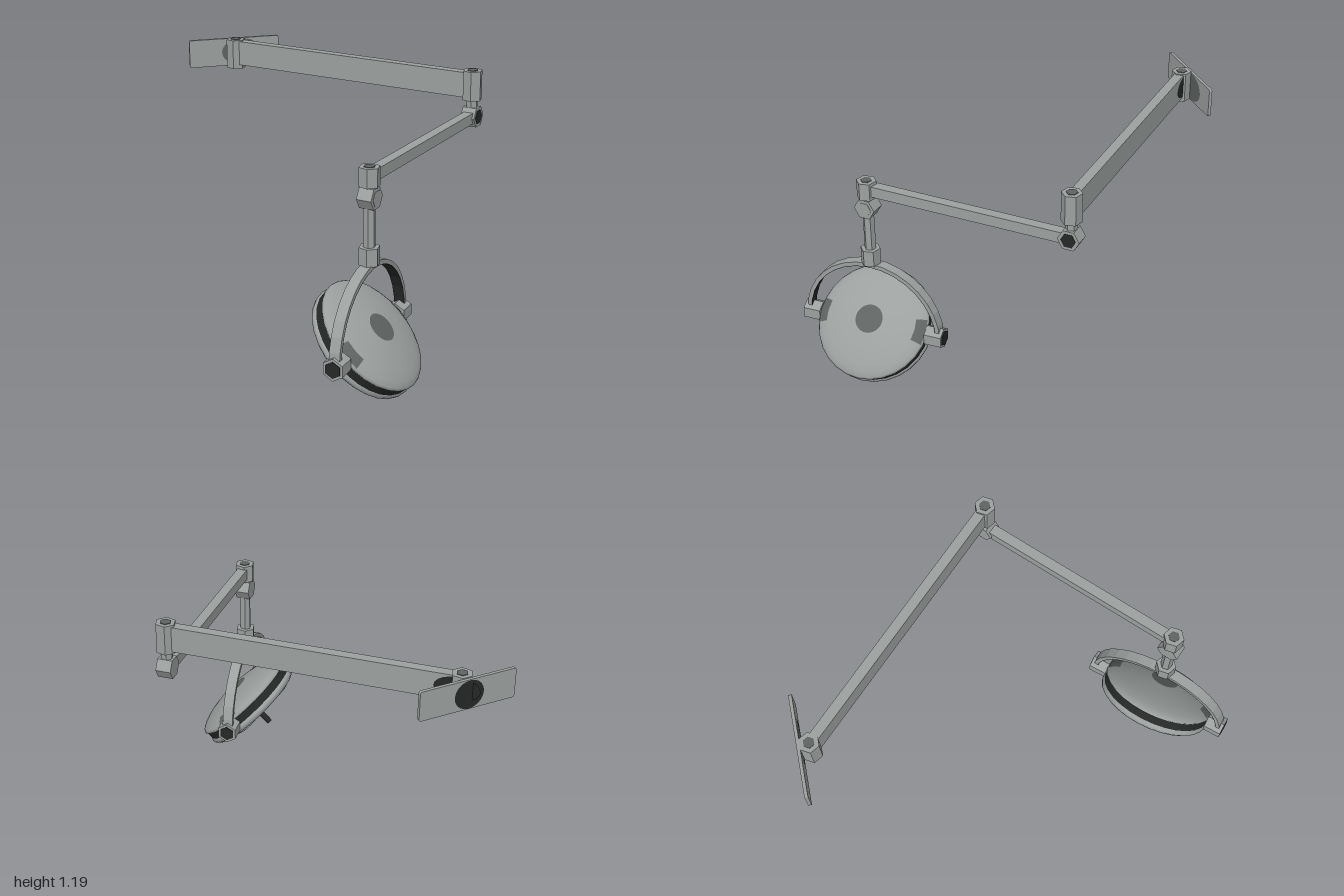
import * as THREE from 'three';

const paint = (name, color) => {
  const m = new THREE.MeshStandardMaterial({ color });
  m.name = name;
  return m;
};

export function createModel() {
  const model = new THREE.Group();
  model.name = 'surgicalLamp';
  const grey = paint('lightGrey', 0x9ca19f);
  const mid = paint('midGrey', 0x5f6361);
  const dark = paint('darkGrey', 0x262827);

  const add = (parent, name, geo, mat, x = 0, y = 0, z = 0) => {
    const mesh = new THREE.Mesh(geo, mat);
    mesh.name = name;
    mesh.position.set(x, y, z);
    parent.add(mesh);
    return mesh;
  };

  // Faceted upright prism
  const prism = (r, h, sides = 6) => {
    const g = new THREE.CylinderGeometry(r, r, h, sides, 1, false, Math.PI / sides).toNonIndexed();
    g.computeVertexNormals();
    return g;
  };

  // Upright prism between two heights, with an optional dark inset on top
  const post = (name, x, z, y0, y1, r, capped) => {
    add(model, name, prism(r, y1 - y0), grey, x, (y0 + y1) / 2, z);
    if (capped) add(model, name + 'Cap', prism(0.026, 0.004), mid, x, y1 + 0.001, z);
  };

  // Horizontal beam between two joints; returns its mesh
  const beam = (name, a, b, y0, y1, width) => {
    const dx = b[0] - a[0], dz = b[1] - a[1];
    const geo = new THREE.BoxGeometry(Math.hypot(dx, dz), y1 - y0, width);
    const mesh = add(model, name, geo, grey, (a[0] + b[0]) / 2, (y0 + y1) / 2, (a[1] + b[1]) / 2);
    mesh.rotation.y = Math.atan2(-dz, dx);
    return mesh;
  };

  // Hexagonal pivot lying across the lower arm
  const knuckle = (name, x, y, z, capMat) => {
    const g = new THREE.Group();
    g.name = name;
    g.position.set(x, y, z);
    g.rotation.y = Math.PI / 4;
    model.add(g);
    add(g, name + 'Body', prism(0.052, 0.07), grey).rotation.x = Math.PI / 2;
    add(g, name + 'Cap', prism(0.036, 0.004), capMat, 0, 0, 0.035).rotation.x = Math.PI / 2;
  };

  const A = [-0.38, -0.945], B = [0.55, -0.012], D = [-0.157, 0.7];

  // Wall plate with rounded corners
  const w = 0.23, h = 0.07, c = 0.012;
  const plate = new THREE.Shape();
  plate.moveTo(-w + c, -h);
  plate.lineTo(w - c, -h);
  plate.quadraticCurveTo(w, -h, w, -h + c);
  plate.lineTo(w, h - c);
  plate.quadraticCurveTo(w, h, w - c, h);
  plate.lineTo(-w + c, h);
  plate.quadraticCurveTo(-w, h, -w, h - c);
  plate.lineTo(-w, -h + c);
  plate.quadraticCurveTo(-w, -h, -w + c, -h);
  add(model, 'wallPlate', new THREE.ExtrudeGeometry(plate, { depth: 0.015, bevelEnabled: false, curveSegments: 4 }),
    grey, -0.38, 1.11, -0.999);
  const spot = new THREE.CircleGeometry(1, 20);
  add(model, 'platePatchFront', spot, mid, -0.345, 1.11, -0.983).scale.set(0.1, 0.068, 1);
  const backPatch = add(model, 'platePatchBack', spot, dark, -0.385, 1.11, -1);
  backPatch.scale.set(0.07, 0.068, 1);
  backPatch.rotation.y = Math.PI;

  // Upper arm and its joints
  post('wallJoint', ...A, 1.04, 1.185, 0.047, true);
  const upperArm = beam('upperArm', A, B, 1.06, 1.18, 0.046);
  const armPatch = add(upperArm, 'armPatch', spot, dark, -0.645, 0, -0.0245);
  armPatch.rotation.y = Math.PI;
  armPatch.scale.set(0.1, 0.056, 1);
  post('elbowJoint', ...B, 1.05, 1.19, 0.047, true);
  post('elbowNeck', ...B, 0.97, 1.06, 0.028, false);

  // Lower arm, its joints and the drop post
  knuckle('elbowPivot', B[0], 0.97, B[1], dark);
  beam('lowerArm', B, D, 0.943, 0.995, 0.048);
  post('wristJoint', ...D, 0.925, 1.01, 0.047, true);
  knuckle('wristPivot', D[0], 0.875, D[1], grey);
  post('dropPost', ...D, 0.62, 0.94, 0.027, false);
  post('yokeSocket', ...D, 0.575, 0.655, 0.047, false);

  // Yoke: half hoop with a dark inner face
  const yoke = new THREE.Group();
  yoke.name = 'yoke';
  yoke.position.set(D[0], 0.235, D[1]);
  yoke.rotation.y = 0.855;
  model.add(yoke);
  const hoop = (inner, outer) => {
    const s = new THREE.Shape();
    s.absarc(0, 0, outer, 0, Math.PI, false);
    s.absarc(0, 0, inner, Math.PI, 0, true);
    return new THREE.ExtrudeGeometry(s, { depth: 0.05, bevelEnabled: false, curveSegments: 8 });
  };
  add(yoke, 'yokeHoop', hoop(0.327, 0.346), grey, 0, 0, -0.025);
  add(yoke, 'yokeLining', hoop(0.325, 0.327), dark, 0, 0, -0.025);

  // Side pivots
  for (const s of [-1, 1]) {
    add(yoke, 'sidePivot', prism(0.051, 0.085), grey, s * 0.315, 0, 0).rotation.z = Math.PI / 2;
    add(yoke, 'sidePivotCap', prism(0.038, 0.006), dark, s * 0.357, 0, 0).rotation.z = Math.PI / 2;
  }

  // Lamp head, tilted about the side pivots
  const head = new THREE.Group();
  head.name = 'lampHead';
  head.rotation.x = Math.PI / 4;
  yoke.add(head);
  const turn = (name, pts, mat, start = 0, length = Math.PI * 2, seg = 28) =>
    add(head, name, new THREE.LatheGeometry(pts.map(p => new THREE.Vector2(...p)), seg, start, length), mat);
  turn('domeShell', [[0.272, 0.014], [0.279, 0.021], [0.272, 0.032], [0.25, 0.045], [0.21, 0.06], [0.14, 0.076], [0.068, 0.085]], grey);
  turn('domeCentre', [[0.068, 0.085], [0, 0.087]], mid);
  turn('grooveBand', [[0.272, -0.025], [0.272, 0.014]], dark);
  turn('lowerRim', [[0.24, -0.062], [0.262, -0.062], [0.276, -0.05], [0.28, -0.035], [0.272, -0.025]], grey);
  turn('underside', [[0, -0.058], [0.24, -0.058], [0.24, -0.062]], mid);
  for (const s of [-1, 1])
    turn('domePatch', [[0.273, 0.0335], [0.251, 0.0465], [0.225, 0.057]], mid, s * Math.PI / 2 - 0.224, 0.448, 2);

  // Lenses around the central handle
  for (let i = 0; i < 4; i++) {
    const a = i * Math.PI / 2;
    const x = 0.15 * Math.sin(a), z = 0.15 * Math.cos(a);
    add(head, 'lensRing', new THREE.CylinderGeometry(0.085, 0.076, 0.02, 20), grey, x, -0.066, z);
    add(head, 'lens', new THREE.CylinderGeometry(0.07, 0.07, 0.006, 20), mid, x, -0.075, z);
  }
  add(head, 'handleHub', new THREE.CylinderGeometry(0.045, 0.035, 0.03, 12), dark, 0, -0.07, 0);
  add(head, 'handle', new THREE.CylinderGeometry(0.016, 0.014, 0.1, 10), dark, 0, -0.125, 0);

  return model;
}
